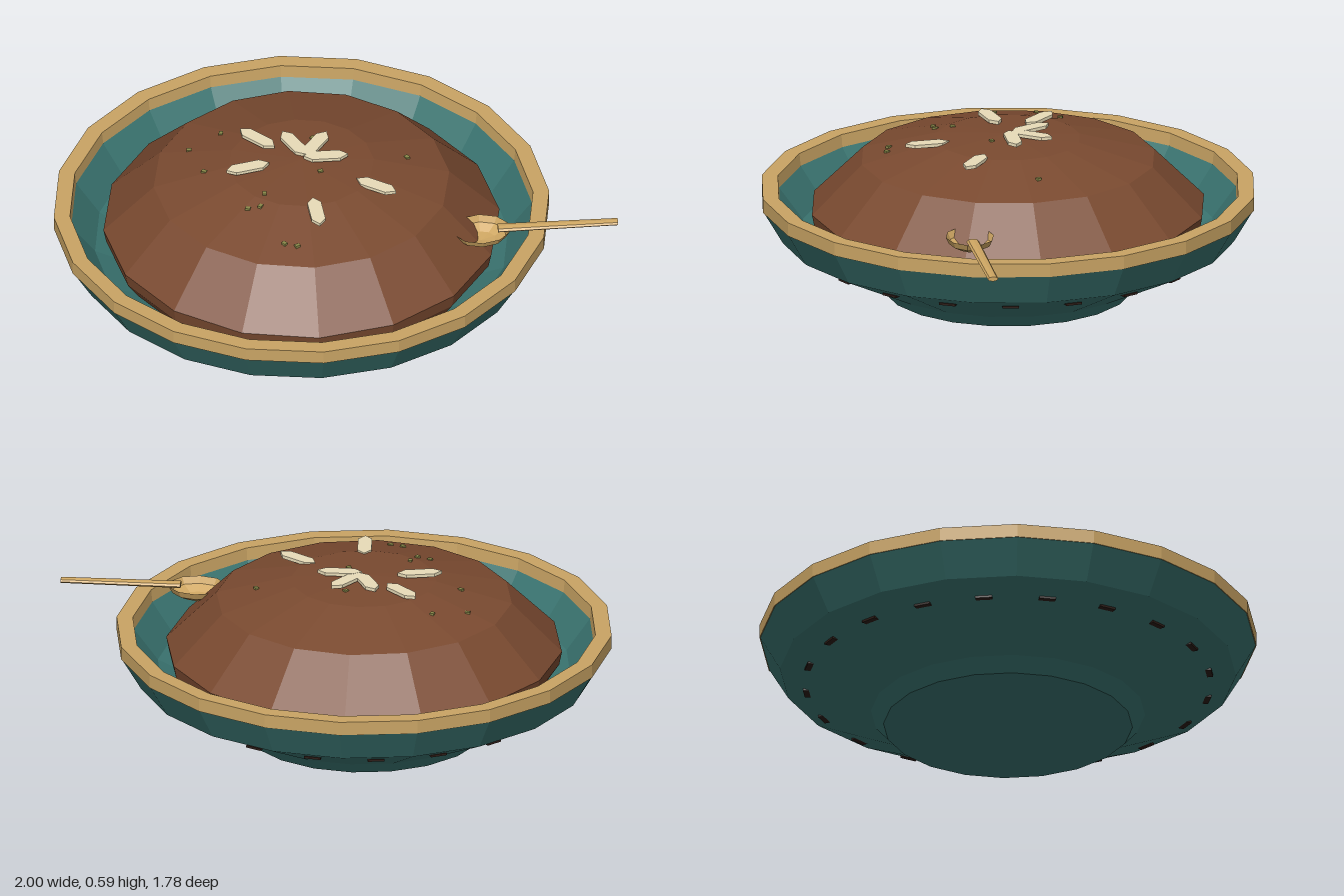
import * as THREE from 'three';

const mat = (color, side = THREE.FrontSide) =>
  new THREE.MeshStandardMaterial({ color, flatShading: true, side });

const teal = mat(0x3a7470);
const gold = mat(0xc9a464);
const brown = mat(0x7a4a30);
const cream = mat(0xe8dcb8);
const green = mat(0x8a8a4a);
const dark = mat(0x2c1c16);
const brass = mat(0xcfa763, THREE.DoubleSide);

const lathe = (points, sides) =>
  new THREE.LatheGeometry(points.map(([r, y]) => new THREE.Vector2(r, y)), sides);

function add(parent, name, geometry, material, x = 0, y = 0, z = 0) {
  const mesh = new THREE.Mesh(geometry, material);
  mesh.name = name;
  mesh.position.set(x, y, z);
  parent.add(mesh);
  return mesh;
}

// Dome of the filling: radius and height, from the top outward
const DOME = [[0, 0.58], [0.26, 0.563], [0.53, 0.49], [0.71, 0.31]];

function domeHeight(r) {
  for (let i = 1; i < DOME.length; i++) {
    const [r0, y0] = DOME[i - 1], [r1, y1] = DOME[i];
    if (r <= r1) return y0 + (y1 - y0) * (r - r0) / (r1 - r0);
  }
  return DOME[DOME.length - 1][1];
}

// Thin six-cornered flake, pointed at both ends along x
function flakeGeometry() {
  const l = 0.08, s = 0.05, w = 0.025;
  const shape = new THREE.Shape(
    [[l, 0], [s, w], [-s, w], [-l, 0], [-s, -w], [s, -w]].map(p => new THREE.Vector2(...p)));
  const g = new THREE.ExtrudeGeometry(shape, { depth: 0.012, bevelEnabled: false });
  return g.rotateX(-Math.PI / 2);
}

export function createModel() {
  const model = new THREE.Group();
  model.name = 'filledBowl';
  const CX = -0.112;

  // Dish with everything centred on its axis
  const dish = new THREE.Group();
  dish.name = 'dish';
  dish.position.x = CX;
  model.add(dish);

  add(dish, 'bowl', lathe([
    [0, 0], [0.445, 0], [0.49, 0.05], [0.815, 0.21], [0.885, 0.33],
    [0.83, 0.34], [0.74, 0.22], [0.45, 0.08], [0, 0.06],
  ], 20), teal);

  add(dish, 'rim', lathe([
    [0.825, 0.33], [0.888, 0.33], [0.888, 0.38], [0.83, 0.38], [0.825, 0.33],
  ], 20), gold);

  add(dish, 'filling', lathe([[0.66, 0.2], [0.7, 0.26], ...DOME.slice().reverse()], 16), brown);

  // Row of small dark dashes, one on each outer face
  const dashes = new THREE.Group();
  dashes.name = 'dashes';
  dish.add(dashes);
  const dashGeometry = new THREE.BoxGeometry(0.06, 0.008, 0.024);
  for (let i = 0; i < 20; i++) {
    const a = (i + 0.5) * Math.PI / 10;
    add(dashes, 'dash', dashGeometry, dark,
      0.722 * Math.sin(a), 0.168, 0.722 * Math.cos(a)).rotation.y = a;
  }

  // Flakes on top: x, z and the turn in degrees
  const flakes = new THREE.Group();
  flakes.name = 'flakes';
  model.add(flakes);
  const flake = flakeGeometry();
  [
    [-0.258, -0.137, -45], [-0.132, -0.085, -64], [-0.055, -0.077, 55], [-0.025, -0.002, 0],
    [-0.308, 0.032, 13], [0.142, 0.162, -34], [-0.085, 0.298, -86],
  ].forEach(([x, z, turn]) => {
    const y = domeHeight(Math.hypot(x - CX, z)) + 0.006;
    add(flakes, 'flake', flake, cream, x, y, z).rotation.y = turn * Math.PI / 180;
  });

  // Crumbs scattered over the filling
  const crumbs = new THREE.Group();
  crumbs.name = 'crumbs';
  model.add(crumbs);
  const crumb = new THREE.BoxGeometry(0.018, 0.01, 0.014);
  [
    [-0.5, -0.17], [-0.38, -0.235], [-0.46, -0.01], [-0.06, -0.135], [0.27, -0.045], [-0.05, 0.07],
    [-0.26, 0.175], [-0.325, 0.235], [-0.28, 0.235], [-0.21, 0.415], [-0.165, 0.43],
  ].forEach(([x, z], i) => {
    const y = domeHeight(Math.hypot(x - CX, z));
    add(crumbs, 'crumb', crumb, green, x, y, z).rotation.y = i * 1.3;
  });

  // Spoon resting in the filling, handle over the rim
  const spoon = new THREE.Group();
  spoon.name = 'spoon';
  spoon.position.set(0.51, 0.41, 0.245);
  model.add(spoon);
  const scoop = add(spoon, 'spoonBowl', lathe([
    [0, -1], [0.5, -0.87], [0.87, -0.5], [1, 0],
  ], 10), brass);
  scoop.scale.set(0.105, 0.05, 0.087);
  const handle = add(spoon, 'spoonHandle',
    new THREE.CylinderGeometry(0.019, 0.023, 0.43, 8).rotateZ(-Math.PI / 2), brass, 0.275, 0, 0);
  handle.scale.y = 0.45;

  return model;
}
